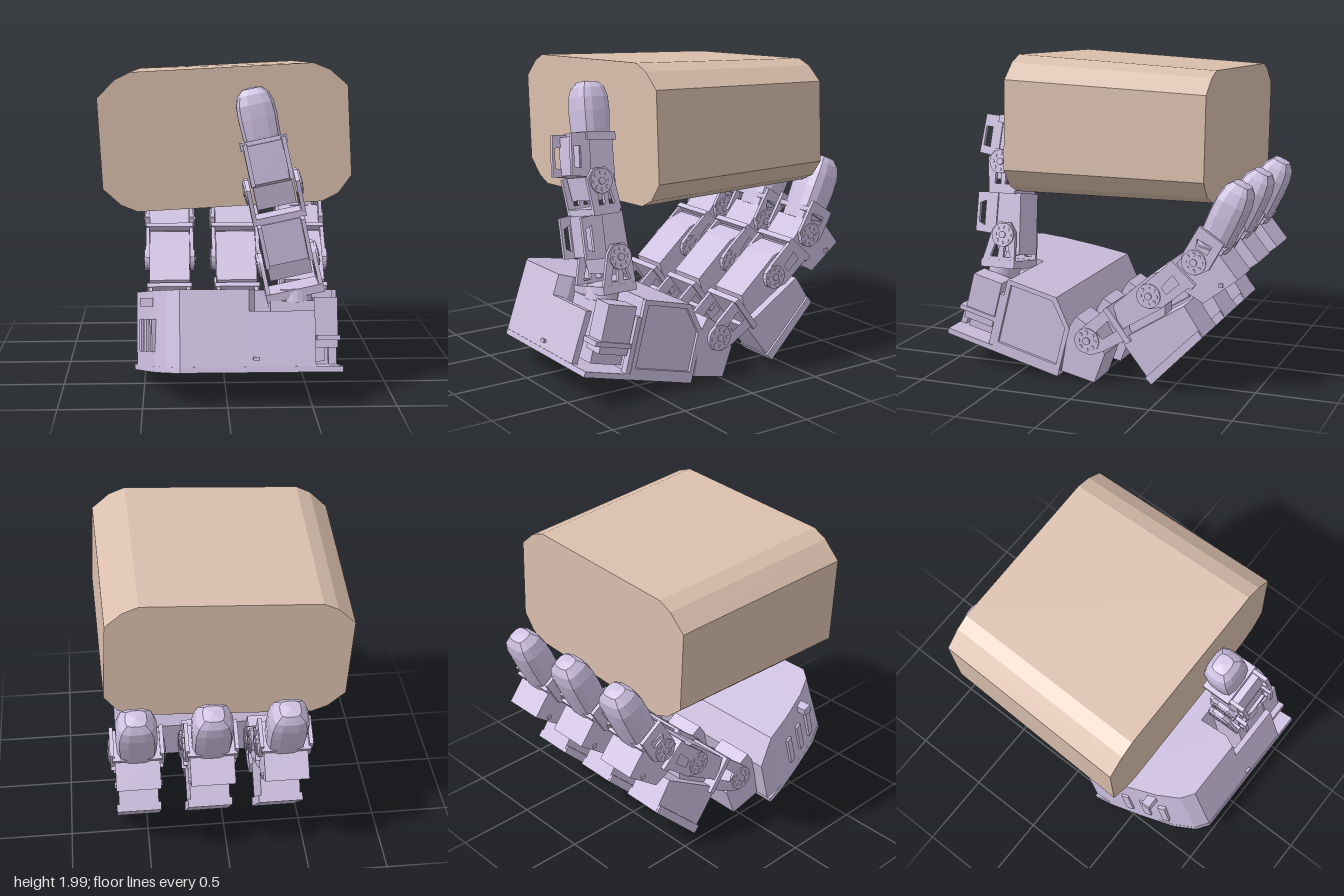
import * as THREE from 'three';

const hand = new THREE.MeshStandardMaterial({ color: 0xcdc0e0, flatShading: true });
const tan = new THREE.MeshStandardMaterial({ color: 0xdabfad, flatShading: true });

function add(parent, name, geometry, material = hand) {
  const mesh = new THREE.Mesh(geometry, material);
  mesh.name = name;
  parent.add(mesh);
  return mesh;
}

const toShape = (pts) => new THREE.Shape(pts.map(([a, b]) => new THREE.Vector2(a, b)));

// Side outline in (z, y), extruded across x and centred on x = cx
function prism(parent, name, pts, width, cx = 0, holes = []) {
  const shape = toShape(pts);
  holes.forEach((h) => shape.holes.push(toShape(h)));
  const g = new THREE.ExtrudeGeometry(shape, { depth: width, bevelEnabled: false });
  g.rotateY(-Math.PI / 2).translate(cx + width / 2, 0, 0);
  return add(parent, name, g);
}

// Plan outline in (x, -z), extruded upwards
function slab(parent, name, pts, y0, y1, lean = 0) {
  const g = new THREE.ExtrudeGeometry(toShape(pts), { depth: y1 - y0, bevelEnabled: false });
  g.rotateX(-Math.PI / 2).translate(0, y0, 0);
  const p = g.attributes.position;
  for (let i = 0; i < p.count; i++) {
    if (p.getZ(i) > -0.3) p.setZ(i, p.getZ(i) - lean * p.getY(i));
  }
  g.computeVertexNormals();
  return add(parent, name, g);
}

function box(parent, name, w, h, d, x, y, z) {
  return add(parent, name, new THREE.BoxGeometry(w, h, d).translate(x, y, z));
}

// Round horn with a ring of screws on both sides of a joint
function hubs(parent, z, y, half, r = 0.07) {
  for (const s of [-1, 1]) {
    const disc = (name, rad, len, zz, yy, x, n) => add(parent, name,
      new THREE.CylinderGeometry(rad, rad, len, n).rotateZ(Math.PI / 2).translate(s * x, yy, zz));
    disc('jointHorn', r, 0.03, z, y, half, 20);
    disc('jointPin', r * 0.3, 0.04, z, y, half + 0.004, 10);
    for (let i = 0; i < 8; i++) {
      const a = (i * Math.PI) / 4;
      disc('hornScrew', r * 0.16, 0.036, z + Math.cos(a) * r * 0.68, y + Math.sin(a) * r * 0.68, half + 0.002, 6);
    }
  }
}

// Pair of bracket arms, mirrored about x = 0
function arms(parent, pts, half, holes) {
  for (const s of [-1, 1]) prism(parent, 'bracketArm', pts, 0.025, s * half, holes);
}

// Soft, square-sectioned dome
function fingertip(parent, width, height, depth, y, z, tilt) {
  const profile = [[0, 0], [0.9, 0], [0.96, 0.2], [1, 0.5], [0.97, 0.72], [0.82, 0.88], [0.5, 0.98], [0, 1]];
  const g = new THREE.LatheGeometry(profile.map(([r, h]) => new THREE.Vector2(r, h)), 16);
  const p = g.attributes.position;
  for (let i = 0; i < p.count; i++) {
    const a = Math.atan2(p.getZ(i), p.getX(i));
    const k = 1 / Math.pow(Math.cos(a) ** 4 + Math.sin(a) ** 4, 0.25);
    p.setXYZ(i, p.getX(i) * k * width / 2, p.getY(i) * height, p.getZ(i) * k * depth / 2);
  }
  g.computeVertexNormals();
  const tip = add(parent, 'fingertip', g);
  tip.position.set(0, y, z);
  tip.rotation.x = tilt;
}

function makeFinger(x) {
  const f = new THREE.Group();
  f.name = 'finger';
  f.position.x = x;
  // Knuckle at the palm
  prism(f, 'baseMotor', [[0.2, 0.06], [-0.02, 0.01], [-0.09, 0.2], [0, 0.36], [0.1, 0.42], [0.15, 0.34]], 0.24);
  hubs(f, 0.02, 0.28, 0.13, 0.08);
  arms(f, [[0.09, 0.3], [0.07, 0.21], [0, 0.19], [-0.08, 0.22], [-0.25, 0.32], [-0.11, 0.5], [0.04, 0.37]], 0.125,
    [[[-0.04, 0.34], [-0.08, 0.3], [-0.17, 0.36], [-0.12, 0.42]]]);
  prism(f, 'bracketPlate', [[-0.09, 0.49], [-0.12, 0.51], [-0.27, 0.31], [-0.24, 0.29]], 0.3);
  // Motor under the finger and the neck that carries it
  prism(f, 'lowerMotor', [[-0.21, 0.29], [-0.25, 0.34], [-0.6, 0.56], [-0.72, 0.38], [-0.4, 0.05]], 0.25);
  prism(f, 'motorRib', [[-0.36, 0.09], [-0.4, 0.05], [-0.72, 0.38], [-0.69, 0.42]], 0.28);
  prism(f, 'neck', [[-0.22, 0.42], [-0.46, 0.57], [-0.46, 0.46], [-0.25, 0.3]], 0.13);
  // Middle segment
  prism(f, 'middleMotor', [[-0.15, 0.52], [-0.2, 0.37], [-0.46, 0.53], [-0.6, 0.69], [-0.52, 0.78], [-0.4, 0.74]], 0.27);
  hubs(f, -0.39, 0.61, 0.155, 0.075);
  arms(f, [[-0.32, 0.64], [-0.33, 0.56], [-0.4, 0.53], [-0.48, 0.55], [-0.66, 0.7], [-0.53, 0.83], [-0.38, 0.7]], 0.15,
    [[[-0.47, 0.67], [-0.5, 0.63], [-0.58, 0.7], [-0.54, 0.75]]]);
  prism(f, 'bracketPlate', [[-0.5, 0.82], [-0.53, 0.84], [-0.68, 0.7], [-0.65, 0.67]], 0.325);
  // Outer segment, frame and fingertip
  prism(f, 'outerMotor', [[-0.54, 0.8], [-0.52, 0.7], [-0.72, 0.59], [-0.93, 0.75], [-0.81, 0.9], [-0.66, 0.94]], 0.27);
  hubs(f, -0.67, 0.84, 0.155, 0.075);
  arms(f, [[-0.59, 0.87], [-0.61, 0.79], [-0.68, 0.76], [-0.76, 0.8], [-0.85, 0.96], [-0.7, 1.06]], 0.15,
    [[[-0.69, 0.98], [-0.68, 0.93], [-0.75, 0.89], [-0.78, 0.94]]]);
  for (const s of [-1, 1]) box(f, 'motorScrew', 0.02, 0.025, 0.025, s * 0.136, 0.71, -0.83);
  prism(f, 'tipPlate', [[-0.67, 0.99], [-0.68, 1.02], [-0.85, 0.92], [-0.83, 0.89]], 0.3);
  fingertip(f, 0.25, 0.44, 0.21, 0.9, -0.735, -0.43);
  return f;
}

function makeThumb() {
  const thumb = new THREE.Group();
  thumb.name = 'thumb';
  thumb.position.set(0.41, 0.65, 0);
  thumb.rotation.z = 0.21;
  const t = new THREE.Group();
  t.name = 'thumbParts';
  t.position.y = -0.65;
  thumb.add(t);
  // Base bracket
  prism(t, 'basePlate', [[0.79, 0.62], [0.79, 0.67], [0.56, 0.67], [0.56, 0.62]], 0.35);
  arms(t, [[0.79, 0.64], [0.73, 0.86], [0.69, 0.91], [0.61, 0.91], [0.57, 0.85], [0.56, 0.64]], 0.16,
    [[[0.73, 0.69], [0.68, 0.69], [0.67, 0.78], [0.7, 0.78]], [[0.64, 0.69], [0.59, 0.69], [0.62, 0.78], [0.64, 0.78]]]);
  // Two stacked motor segments with a slotted frame on the front
  prism(t, 'lowerMotor', [[0.7, 0.73], [0.72, 0.83], [0.79, 0.84], [0.79, 1.09], [0.57, 1.1], [0.55, 0.71]], 0.26);
  arms(t, [[0.86, 0.84], [0.86, 1.09], [0.72, 1.1], [0.72, 0.83]], 0.13,
    [[[0.84, 0.9], [0.84, 1.02], [0.8, 1.04], [0.8, 0.88]]]);
  hubs(t, 0.65, 0.83, 0.17, 0.075);
  prism(t, 'middlePlate', [[0.78, 1.09], [0.78, 1.13], [0.6, 1.13], [0.6, 1.09]], 0.32);
  arms(t, [[0.78, 1.11], [0.8, 1.31], [0.75, 1.37], [0.67, 1.37], [0.62, 1.32], [0.59, 1.11]], 0.148,
    [[[0.74, 1.15], [0.7, 1.15], [0.7, 1.23], [0.74, 1.23]], [[0.67, 1.15], [0.63, 1.15], [0.65, 1.23], [0.67, 1.23]]]);
  prism(t, 'upperMotor', [[0.76, 1.18], [0.78, 1.32], [0.82, 1.34], [0.8, 1.57], [0.57, 1.55], [0.59, 1.17]], 0.235);
  arms(t, [[0.88, 1.34], [0.85, 1.59], [0.73, 1.58], [0.75, 1.32]], 0.115,
    [[[0.855, 1.39], [0.845, 1.51], [0.8, 1.51], [0.81, 1.38]]]);
  hubs(t, 0.71, 1.29, 0.155, 0.075);
  prism(t, 'tipPlate', [[0.76, 1.54], [0.75, 1.59], [0.56, 1.57], [0.56, 1.52]], 0.28);
  fingertip(t, 0.235, 0.36, 0.2, 1.53, 0.65, -0.06);
  return thumb;
}

function makePalm() {
  const palm = new THREE.Group();
  palm.name = 'palm';
  palm.position.set(0, 0.22, 0.99);
  palm.rotation.x = -0.254;
  const side = [[-0.55, 0.66], [-0.5, 0.45], [-0.43, 0.2], [-0.36, 0.06], [-0.28, 0]];
  slab(palm, 'floor', [[-0.57, 0.79], ...side, [0.68, 0], [0.68, 0.79]], 0, 0.035);
  slab(palm, 'mainShell', [...side, [0.13, 0], [0.17, 0.08], [0.17, 0.66]], 0.035, 0.49, 0.075);
  slab(palm, 'rearShell', [[0.17, 0.33], [0.66, 0.33], [0.66, 0.66], [0.17, 0.66]], 0.035, 0.49);
  prism(palm, 'rearSlope', [[-0.66, 0.035], [-0.66, 0.49], [-0.79, 0.33], [-0.795, 0.035]], 1.21, 0.055);
  slab(palm, 'frontWall', [[0.13, 0], [0.52, 0], [0.52, 0.04], [0.13, 0.04]], 0.035, 0.36, 0.075);
  // Raised rim around the side panel
  prism(palm, 'sideRim', [[-0.32, 0.03], [-0.32, 0.49], [-0.66, 0.49], [-0.79, 0.33], [-0.79, 0.03]], 0.03, 0.665,
    [[[-0.35, 0.07], [-0.35, 0.46], [-0.64, 0.46], [-0.76, 0.32], [-0.76, 0.07]]]);
  // Motor bay that turns the thumb
  box(palm, 'thumbMotor', 0.32, 0.36, 0.22, 0.42, 0.24, -0.2);
  box(palm, 'thumbMotorCap', 0.14, 0.3, 0.2, 0.59, 0.29, -0.18);
  box(palm, 'bayShelf', 0.14, 0.03, 0.26, 0.6, 0.2, -0.17);
  box(palm, 'bayPost', 0.05, 0.36, 0.04, 0.65, 0.2, -0.31);
  add(palm, 'thumbTurntable', new THREE.CylinderGeometry(0.1, 0.1, 0.08, 20).translate(0.42, 0.45, -0.18));
  // Side tab, vents and screw
  box(palm, 'sideTab', 0.08, 0.05, 0.06, -0.48, 0.42, -0.28);
  for (let i = 0; i < 3; i++) {
    const vent = box(palm, 'sideVent', 0.03, 0.2, 0.05, 0, 0, 0);
    vent.position.set(-0.44 - i * 0.035, 0.22, -0.23 - i * 0.13);
    vent.rotation.y = 0.26;
  }
  box(palm, 'frontScrew', 0.04, 0.02, 0.02, 0.17, 0.08, 0);
  return palm;
}

// Chamfered block, tapering slightly to the back
function makeBlock() {
  const outline = [[-0.77, 1.79], [-0.74, 1.24], [-0.63, 1.14], [-0.53, 1.1], [0.59, 1.16], [0.69, 1.21],
    [0.77, 1.32], [0.74, 1.865], [0.63, 1.96], [0.53, 2], [-0.57, 1.945], [-0.66, 1.9]];
  const g = new THREE.ExtrudeGeometry(toShape(outline), { depth: 1.255, bevelEnabled: false });
  g.translate(0, 0, -0.73);
  const p = g.attributes.position;
  for (let i = 0; i < p.count; i++) {
    if (p.getZ(i) < 0) p.setXY(i, p.getX(i) * 0.955, 1.53 + (p.getY(i) - 1.552) * 0.92);
  }
  g.computeVertexNormals();
  const group = new THREE.Group();
  add(group, 'heldBlock', g, tan);
  return group.children[0];
}

export function createModel() {
  const model = new THREE.Group();
  model.name = 'mechanicalHandWithBlock';
  model.add(makeBlock(), makePalm(), makeThumb());
  for (const x of [-0.345, 0.105, 0.555]) model.add(makeFinger(x));
  return model;
}
